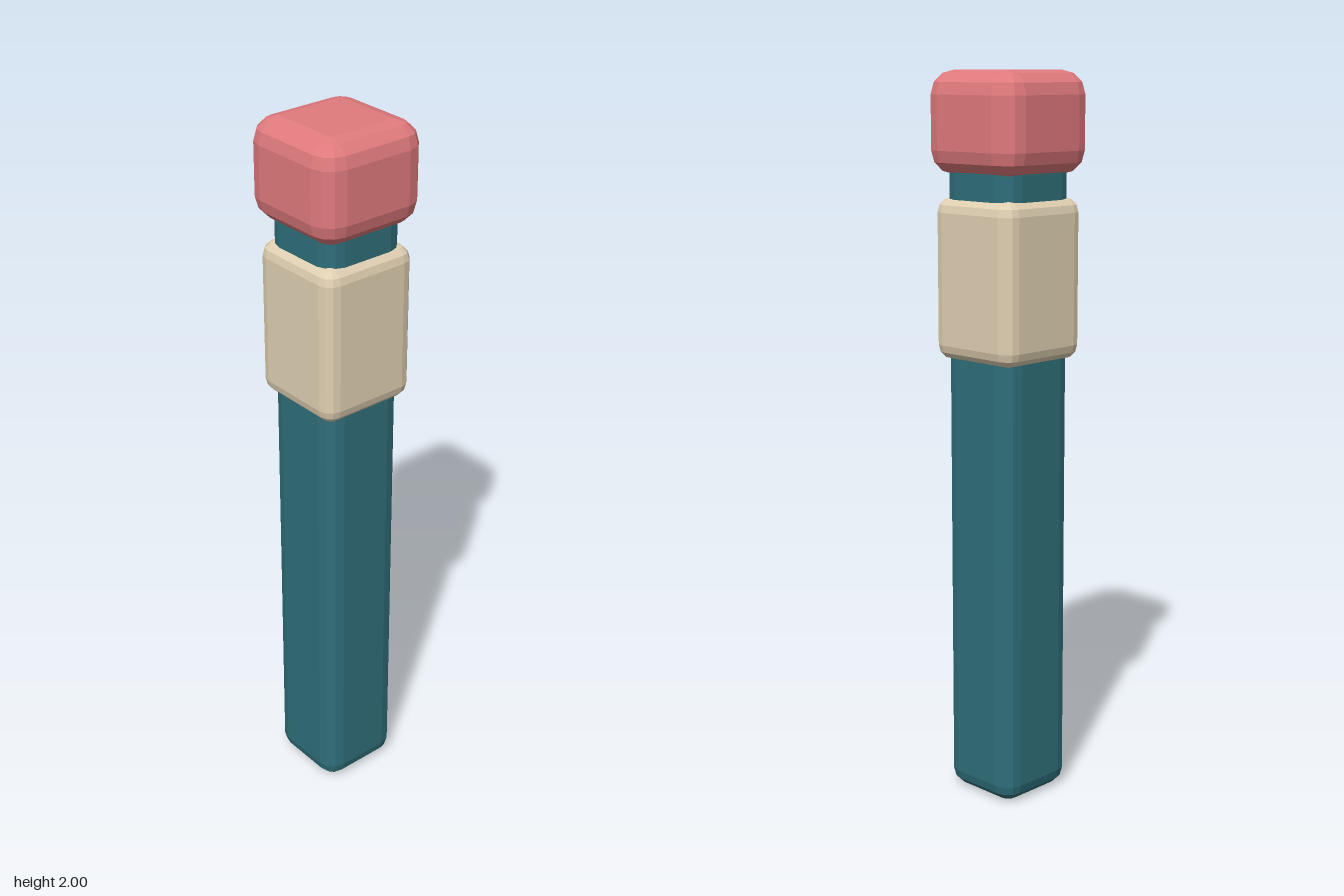
import * as THREE from 'three';

// Square block whose edges and corners are bevelled in three facets
function bevelBlock(half, y0, y1, r) {
  const steps = 3, inner = half - r, rings = [];
  const addRing = (phi, y) => {
    const ring = [];
    for (let c = 0; c < 4; c++) {
      const cx = (c === 0 || c === 3 ? 1 : -1) * inner;
      const cz = (c < 2 ? 1 : -1) * inner;
      for (let s = 0; s <= steps; s++) {
        const a = (c + s / steps) * Math.PI / 2, d = r * Math.cos(phi);
        ring.push([cx + d * Math.cos(a), y + r * Math.sin(phi), cz + d * Math.sin(a)]);
      }
    }
    rings.push(ring);
  };
  for (let i = 0; i <= steps; i++) addRing((i / steps - 1) * Math.PI / 2, y0 + r);
  for (let i = 0; i <= steps; i++) addRing(i / steps * Math.PI / 2, y1 - r);

  const n = rings[0].length, pos = rings.flat(2), index = [];
  for (let j = 0; j < rings.length - 1; j++) {
    for (let i = 0; i < n; i++) {
      const k = (i + 1) % n, a = j * n + i, b = j * n + k, c = a + n, d = b + n;
      // Skip the collapsed triangles where a corner meets a cap
      const corner = i % (steps + 1) < steps;
      if (!(corner && j === 0)) index.push(a, d, b);
      if (!(corner && j === rings.length - 2)) index.push(a, c, d);
      else if (j === 0) index.push(a, c, d);
    }
  }
  // Flat caps
  const top = (rings.length - 1) * n, q = steps + 1;
  index.push(0, q, 2 * q, 0, 2 * q, 3 * q);
  index.push(top, top + 2 * q, top + q, top, top + 3 * q, top + 2 * q);

  const geo = new THREE.BufferGeometry();
  geo.setAttribute('position', new THREE.Float32BufferAttribute(pos, 3));
  geo.setIndex(index);
  const flat = geo.toNonIndexed();
  flat.computeVertexNormals();
  return flat;
}

export function createModel() {
  const group = new THREE.Group();
  const make = (name, color) => {
    const m = new THREE.MeshStandardMaterial({ color });
    m.name = name;
    return m;
  };
  const teal = make('teal', 0x2f6f7a);
  const cream = make('cream', 0xe0d0b2);
  const coral = make('coral', 0xe07a7d);

  // name, material, half width, bottom, top, bevel radius
  const parts = [
    ['shaft', teal, 0.125, 0, 1.8, 0.05],
    ['sleeve', cream, 0.145, 1.235, 1.67, 0.04],
    ['cap', coral, 0.163, 1.73, 2, 0.063],
  ];
  for (const [name, material, half, y0, y1, r] of parts) {
    const mesh = new THREE.Mesh(bevelBlock(half, y0, y1, r), material);
    mesh.name = name;
    group.add(mesh);
  }
  return group;
}
